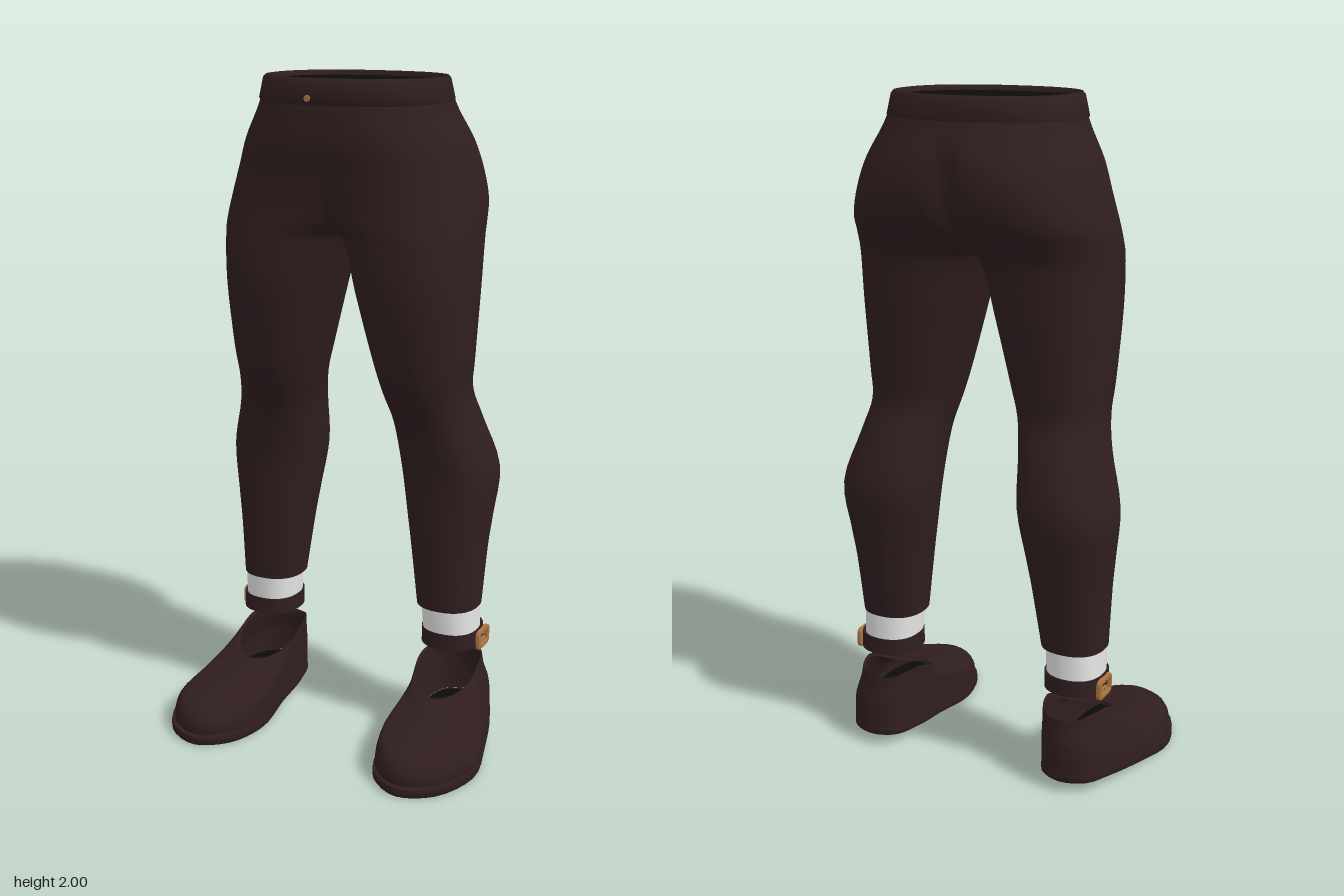
import * as THREE from 'three';
import { mergeGeometries, mergeVertices, toCreasedNormals } from 'three/addons/utils/BufferGeometryUtils.js';

const V3 = (x, y, z) => new THREE.Vector3(x, y, z);
const { lerp, smoothstep } = THREE.MathUtils;
const SEG = 48;

// Smoothly resample a table of rows, column by column.
function resample(rows, per) {
  const cols = rows[0].map((_, c) => new THREE.SplineCurve(rows.map((r, i) => new THREE.Vector2(i, r[c]))));
  const n = (rows.length - 1) * per;
  return Array.from({ length: n + 1 }, (_, i) => cols.map((k) => k.getPoint(i / n).y));
}

// Horizontal oval for a row [y, xInner, xOuter, zBack, zFront], cut off at x = 0.
function oval([y, xi, xo, zb, zf]) {
  const e = 0.86, cx = (xi + xo) / 2, rx = (xo - xi) / 2, cz = (zb + zf) / 2, rz = (zf - zb) / 2;
  const pw = (v) => Math.sign(v) * Math.abs(v) ** e;
  const cut = xi < 0;
  const end = cut ? Math.PI - Math.acos(Math.min(1, Math.max(0, cx / rx) ** (1 / e))) : Math.PI;
  return Array.from({ length: SEG + 1 }, (_, j) => {
    const a = -end + (2 * end * j) / SEG;
    const x = cut && (j === 0 || j === SEG) ? 0 : cx + rx * pw(Math.cos(a));
    return V3(x, y, cz + rz * pw(Math.sin(a)));
  });
}

// Skin a stack of rings, listed from top to bottom.
function skin(rings) {
  const n = rings[0].length, idx = [];
  for (let i = 0; i < rings.length - 1; i++) {
    for (let j = 0; j < n - 1; j++) {
      const a = i * n + j, c = a + n;
      idx.push(a, a + 1, c, a + 1, c + 1, c);
    }
  }
  const g = new THREE.BufferGeometry().setFromPoints(rings.flat());
  g.setIndex(idx);
  return g;
}
const mirror = (rings) => rings.map((r) => r.map((p) => V3(-p.x, p.y, p.z)).reverse());

function smooth(g, crease) {
  const m = mergeVertices(g, 1e-4);
  m.computeVertexNormals();
  return crease ? toCreasedNormals(m, crease) : m;
}
const bothSides = (rings) => mergeGeometries([skin(rings), skin(mirror(rings))]);

// Closed outline through [x, z] points.
function outline(pts) {
  return new THREE.CatmullRomCurve3(pts.map(([x, z]) => V3(x, 0, z)), true).getPoints(SEG);
}
const soleY = (z) => 0.033 * (1 - smoothstep(z, -0.24, 0.16));

export function createModel() {
  const model = new THREE.Group();
  const mat = (name, color, side) => {
    const m = new THREE.MeshStandardMaterial({ color, side });
    m.name = name;
    return m;
  };
  const brown = mat('darkBrown', 0x301e1f, THREE.DoubleSide);
  const white = mat('sockWhite', 0xe6e6e6, THREE.DoubleSide);
  const brass = mat('brass', 0xa8743f, THREE.FrontSide);
  const black = mat('blackLining', 0x0b0b0b, THREE.DoubleSide);
  const add = (name, g, m, parent = model) => {
    const mesh = new THREE.Mesh(g, m);
    mesh.name = name;
    parent.add(mesh);
    return mesh;
  };

  // Trousers: hips split into two legs at the crotch
  const legRows = [
    [1.95, -0.275, 0.275, -0.30, 0.125],
    [1.90, -0.288, 0.295, -0.32, 0.135],
    [1.82, -0.26, 0.335, -0.35, 0.14],
    [1.74, -0.21, 0.362, -0.355, 0.13],
    [1.66, -0.14, 0.383, -0.335, 0.125],
    [1.60, -0.075, 0.39, -0.293, 0.128],
    [1.54, 0, 0.39, -0.265, 0.132],
    [1.40, 0.04, 0.384, -0.255, 0.135],
    [1.20, 0.09, 0.372, -0.232, 0.10],
    [1.10, 0.115, 0.366, -0.224, 0.07],
    [1.00, 0.135, 0.388, -0.258, 0.03],
    [0.85, 0.147, 0.432, -0.295, -0.003],
    [0.70, 0.17, 0.42, -0.27, -0.01],
    [0.60, 0.185, 0.41, -0.25, -0.015],
    [0.42, 0.208, 0.40, -0.22, -0.025],
  ];
  const legRings = resample(legRows, 4).map(oval);
  // Cleft at the back of the seat
  for (const p of legRings.flat()) {
    const reach = smoothstep(p.y, 1.56, 1.66) * (1 - smoothstep(p.y, 1.78, 1.9));
    if (p.z < -0.15) p.z += 0.028 * reach * Math.exp(-((p.x / 0.03) ** 2));
  }
  add('trousers', smooth(bothSides(legRings)), brown);

  // Waistband: inner face, rolled top, outer face
  const band = [
    [1.96, 0.257, -0.287, 0.114], [1.994, 0.257, -0.287, 0.114], [2.0, 0.264, -0.291, 0.12],
    [1.992, 0.271, -0.298, 0.128], [1.935, 0.284, -0.308, 0.136], [1.922, 0.278, -0.303, 0.128],
  ].map(([y, x, zb, zf]) => oval([y, -x, x, zb, zf]));
  add('waistband', smooth(bothSides(band), 0.9), brown);

  // Black filling just inside the waist
  const fillEdge = oval([1.985, -0.258, 0.258, -0.288, 0.115]);
  add('waistFilling', smooth(bothSides([fillEdge.map(() => V3(0, 1.985, -0.087)), fillEdge])), black);

  // Fly button
  const button = add('flyButton', new THREE.CylinderGeometry(0.009, 0.009, 0.01, 16), brass);
  button.rotation.x = Math.PI / 2;
  button.position.set(-0.045, 1.945, 0.134);

  // Sock, an open tube
  const sock = [[0.43, 0.222, 0.396, -0.214, -0.032], [0.30, 0.229, 0.398, -0.217, -0.038]].map(oval);

  // Ankle strap
  const strap = [
    [0.294, 0.231, 0.397, -0.217, -0.04], [0.343, 0.231, 0.397, -0.217, -0.04],
    [0.345, 0.223, 0.405, -0.225, -0.034], [0.294, 0.223, 0.407, -0.226, -0.032],
    [0.294, 0.231, 0.397, -0.217, -0.04],
  ].map(oval);

  // Shoe outlines: sole edge and foot opening, both starting at the toe
  const edge = outline([[0.34, 0.355], [0.245, 0.295], [0.203, 0.17], [0.218, 0.0], [0.222, -0.13], [0.25, -0.23],
    [0.32, -0.262], [0.395, -0.235], [0.438, -0.15], [0.48, 0.0], [0.507, 0.16], [0.445, 0.305]]);
  const rim = outline([[0.32, 0.04], [0.275, 0.025], [0.235, -0.02], [0.216, -0.08], [0.222, -0.15], [0.25, -0.22],
    [0.31, -0.247], [0.37, -0.222], [0.397, -0.17], [0.407, -0.11], [0.405, -0.05], [0.37, 0.01]]);
  const rimY = (z) => 0.237 - 0.072 * smoothstep(z, -0.15, 0.045) - 0.012 * smoothstep(-z, 0.19, 0.25);
  const soleRing = (s, h) => edge.map((p) => {
    const z = 0.04 + (p.z - 0.04) * s;
    return V3(0.345 + (p.x - 0.345) * s, soleY(z) + h, z);
  });

  // Upper: [inward, upward] fractions from the opening down to the sole, sloping straighter on the outside
  const profile = resample([[1, 1], [0.94, 0.95], [0.78, 0.79], [0.48, 0.66], [0.17, 0.5], [0.06, 0.24], [0.05, 0]], 3);
  const upper = profile.map(([h, v]) => edge.map((p, j) => {
    const r = rim[j], base = soleY(p.z) + 0.028;
    const slope = 0.75 * smoothstep(p.x, 0.39, 0.48) * (1 - smoothstep(p.z, 0.1, 0.3));
    const up = lerp(v, Math.min(v, h), slope);
    return V3(lerp(p.x, r.x, h), lerp(base, rimY(r.z), up), lerp(p.z, r.z, h));
  }));
  upper.unshift(rim.map((p) => V3(0.31 + (p.x - 0.31) * 0.95, rimY(p.z) - 0.01, -0.105 + (p.z + 0.105) * 0.96)));

  const sole = [soleRing(0.9, 0.03), soleRing(0.995, 0.028), soleRing(1, 0.022), soleRing(1, 0.005),
    soleRing(0.985, 0), soleRing(0.6, 0), soleRing(0.3, 0), soleRing(0, 0)];
  const insole = [soleRing(0, 0.032), soleRing(0.5, 0.032), soleRing(0.94, 0.032)];

  // Buckle frame
  const roundRect = (T, w, h, r) => {
    const s = new T();
    s.absarc(w - r, h - r, r, 0, Math.PI / 2);
    s.absarc(-w + r, h - r, r, Math.PI / 2, Math.PI);
    s.absarc(-w + r, -h + r, r, Math.PI, Math.PI * 1.5);
    s.absarc(w - r, -h + r, r, Math.PI * 1.5, Math.PI * 2);
    return s;
  };
  const frame = roundRect(THREE.Shape, 0.042, 0.029, 0.014);
  frame.holes.push(roundRect(THREE.Path, 0.031, 0.018, 0.008));
  const frameGeo = new THREE.ExtrudeGeometry(frame, { depth: 0.01, bevelSize: 0.002, bevelThickness: 0.002, bevelSegments: 1, curveSegments: 5 });

  for (const side of [1, -1]) {
    const label = side > 0 ? 'left' : 'right';
    const part = (rings, crease) => smooth(skin(side > 0 ? rings : mirror(rings)), crease);
    add(label + 'Sock', part(sock), white);
    add(label + 'AnkleStrap', part(strap, 0.7), brown);

    const shoe = new THREE.Group();
    shoe.name = label + 'Shoe';
    model.add(shoe);
    add('shoeUpper', part(upper, 1.2), brown, shoe);
    add('insole', part(insole), black, shoe);
    add('sole', part(sole, 0.8), brown, shoe);

    const buckle = new THREE.Group();
    buckle.name = label + 'Buckle';
    add('buckleFrame', frameGeo, brass, buckle);
    add('bucklePin', new THREE.BoxGeometry(0.045, 0.007, 0.008), brass, buckle).position.set(-0.016, 0, 0.009);
    buckle.position.set(side * 0.403, 0.311, -0.143);
    buckle.rotation.y = (side * Math.PI) / 2;
    model.add(buckle);
  }
  return model;
}
